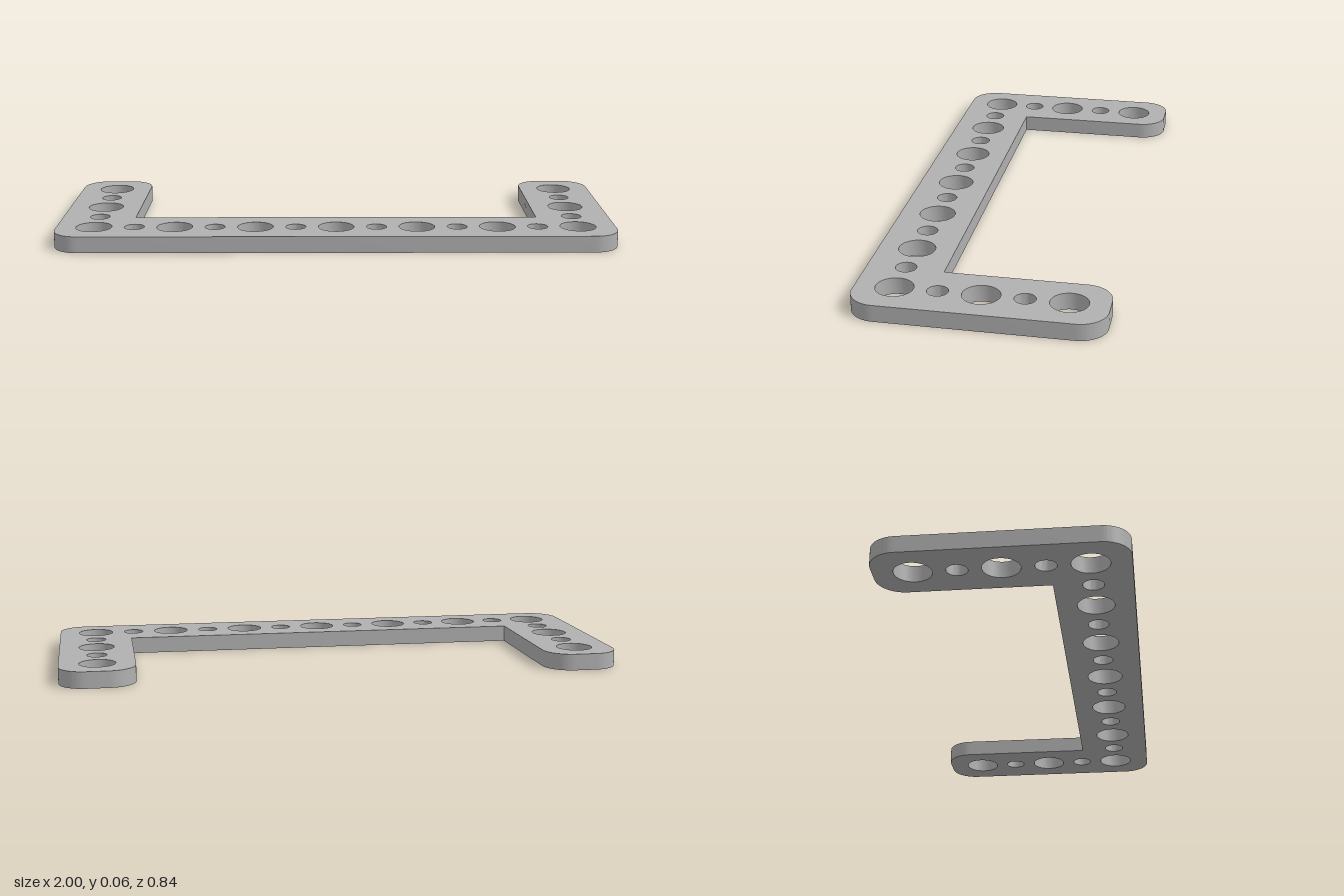
import * as THREE from 'three';
import { toCreasedNormals } from 'three/addons/utils/BufferGeometryUtils.js';

const HALF_X = 1, HALF_Z = 0.422, WIDTH = 0.267, THICK = 0.059;
const CORNER = 0.095, PITCH = 0.2885, BIG = 0.064, SMALL = 0.036;

// U-shaped outline; shape y becomes -z once laid flat
function outline() {
  const s = new THREE.Shape();
  const r = CORNER, x = HALF_X, z = HALF_Z, xi = x - WIDTH, zi = -z + WIDTH;
  const H = Math.PI / 2;
  s.moveTo(-x + r, -z);
  s.lineTo(x - r, -z);
  s.absarc(x - r, -z + r, r, -H, 0);
  s.lineTo(x, z - r);
  s.absarc(x - r, z - r, r, 0, H);
  s.lineTo(xi + r, z);
  s.absarc(xi + r, z - r, r, H, 2 * H);
  s.lineTo(xi, zi);
  s.lineTo(-xi, zi);
  s.lineTo(-xi, z - r);
  s.absarc(-xi - r, z - r, r, 0, H);
  s.lineTo(-x + r, z);
  s.absarc(-x + r, z - r, r, H, 2 * H);
  s.lineTo(-x, -z + r);
  s.absarc(-x + r, -z + r, r, 2 * H, 3 * H);
  return s;
}

function addHole(shape, x, y, radius) {
  const hole = new THREE.Path();
  hole.absarc(x, y, radius, 0, Math.PI * 2, true);
  shape.holes.push(hole);
}

export function createModel() {
  const group = new THREE.Group();
  group.name = 'perforatedBracket';
  const grey = new THREE.MeshStandardMaterial({ color: 0xb0b0b0 });
  grey.name = 'grey';

  const shape = outline();
  // Alternating large and small holes along the long bar
  for (let i = -6; i <= 6; i++) {
    addHole(shape, i * PITCH / 2, -PITCH, i % 2 ? SMALL : BIG);
  }
  // Holes along both arms
  for (const side of [-1, 1]) {
    for (let j = -1; j <= 2; j++) {
      addHole(shape, side * 3 * PITCH, j * PITCH / 2, j % 2 ? SMALL : BIG);
    }
  }

  const flat = new THREE.ExtrudeGeometry(shape, { depth: THICK, bevelEnabled: false, curveSegments: 16 });
  flat.rotateX(-Math.PI / 2);
  const plate = new THREE.Mesh(toCreasedNormals(flat, Math.PI / 5), grey);
  plate.name = 'bracketPlate';
  group.add(plate);
  return group;
}
